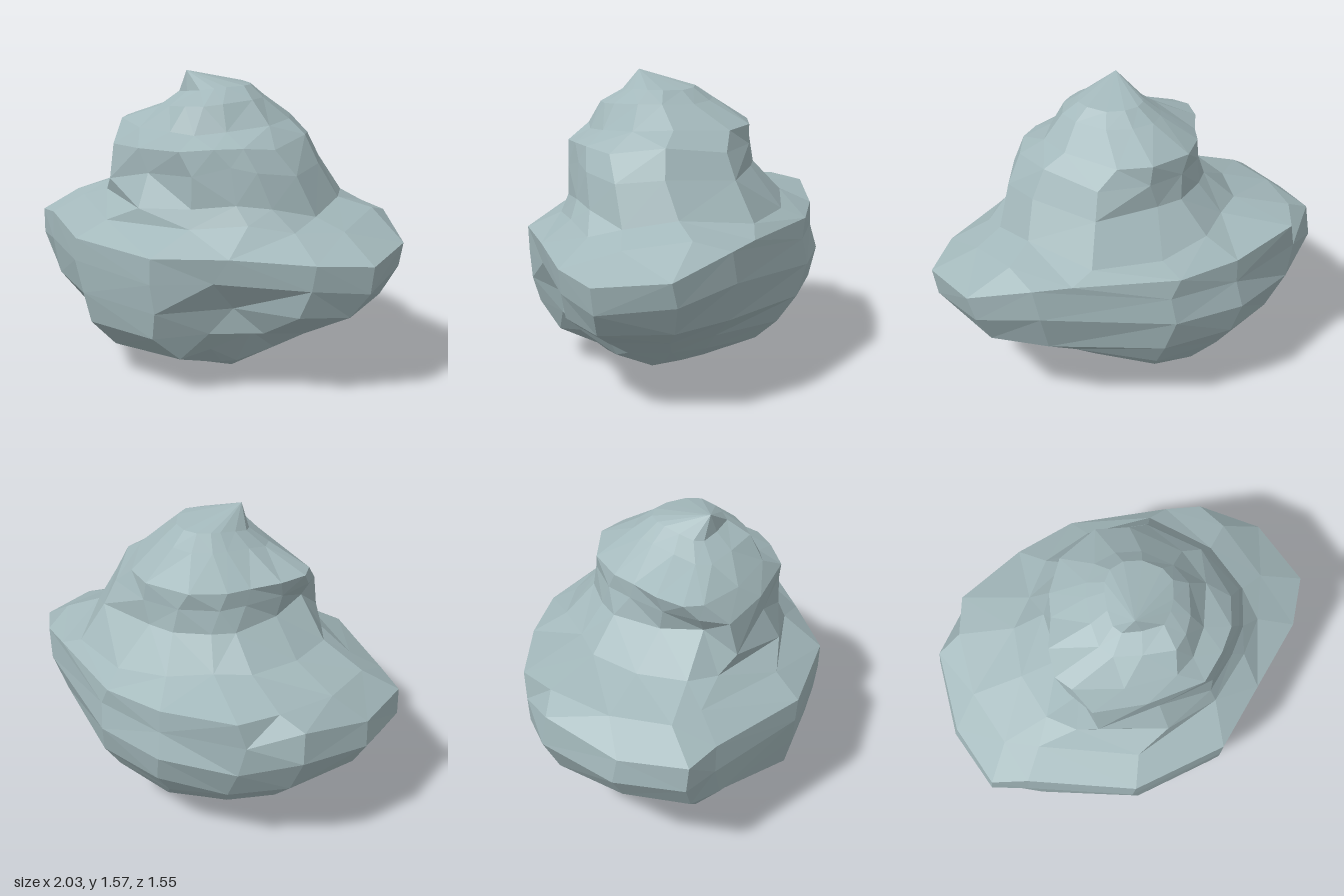
import * as THREE from 'three';

// Rings from bottom to top: y, min x, max x, min z, max z
const RINGS = [
  [0.05, -0.16, 0.22, -0.2, 0.26],
  [0.18, -0.46, 0.41, -0.5, 0.59],
  [0.31, -0.74, 0.62, -0.62, 0.72],
  [0.45, -0.9, 0.88, -0.73, 0.76],
  [0.6, -1, 0.97, -0.77, 0.77],
  [0.73, -0.99, 1, -0.73, 0.77],
  [0.85, -0.83, 0.8, -0.73, 0.6],
  [0.94, -0.6, 0.64, -0.57, 0.55],
  [1.1, -0.44, 0.57, -0.43, 0.53],
  [1.22, -0.46, 0.5, -0.41, 0.53],
  [1.31, -0.47, 0.39, -0.4, 0.42],
  [1.43, -0.23, 0.27, -0.22, 0.35],
  [1.49, -0.14, 0.2, -0.12, 0.25],
];

// Plan outlines of the broad base and the narrow crown, as x, z within -1..1
const BASE = [[1, -0.1], [0.97, 0.39], [0.77, 0.64], [0.42, 0.82], [0.05, 1], [-0.48, 0.85], [-0.83, 0.37],
  [-1, 0.2], [-0.99, -0.26], [-0.82, -0.7], [-0.55, -0.9], [-0.15, -1], [0.23, -0.88], [0.8, -0.43]];
const CROWN = [[1, -0.1], [1, 0.35], [0.66, 0.73], [0.4, 0.88], [0.04, 1], [-0.5, 0.77], [-0.9, 0.48],
  [-1, 0.2], [-0.93, -0.2], [-0.73, -0.6], [-0.55, -0.8], [-0.2, -0.98], [0.25, -0.98], [0.68, -0.8]];

// Prominent corners and hollows that pull the nearby shell towards them
const CORNERS = [
  // crown
  [0.2, 1.5, 0.11], [0, 1.5, -0.12], [0.2, 1.43, -0.12], [-0.48, 1.3, 0.18], [-0.33, 1.3, -0.17],
  [-0.24, 1.38, 0.2], [0.49, 1.26, 0], [0.45, 1.22, 0.28], [0.3, 1.15, 0.45], [0.08, 1.28, 0.42],
  [0.13, 1.1, 0.53], [0.38, 1.22, -0.29], [0.13, 1.32, -0.4], [0.1, 1.1, -0.41], [-0.31, 1.1, -0.28],
  [-0.44, 1.14, 0.18],
  // ledge
  [0.64, 0.89, 0.2], [0.52, 0.9, -0.43], [0.14, 0.85, 0.57], [0.41, 0.88, 0.48], [-0.16, 0.92, 0.55],
  [-0.46, 1, 0.35], [-0.28, 0.95, -0.45], [0.2, 0.9, -0.57], [-0.82, 0.84, -0.54], [-0.55, 0.89, -0.7],
  [0.8, 0.84, -0.33],
  // rim
  [0.03, 0.74, 0.77], [0.77, 0.73, 0.49], [-0.48, 0.64, 0.65], [-0.87, 0.77, 0.28], [0.23, 0.75, -0.68],
  [0.97, 0.57, 0.3], [0.3, 0.62, 0.65],
  // underside
  [0.35, 0.47, 0.51], [0.36, 0.3, 0.33], [0.42, 0.18, 0.2], [0.19, 0.11, 0.34], [0.1, 0.19, 0.6],
  [-0.36, 0.16, 0.48], [-0.66, 0.29, 0.28], [-0.82, 0.44, 0.3], [-0.82, 0.37, -0.08], [-0.46, 0.4, -0.63],
  [-0.05, 0.18, -0.52], [0.22, 0.3, -0.56], [0.62, 0.31, 0.28], [-0.33, 0.12, -0.13],
].map((p) => new THREE.Vector3(...p));

// Vertices of the plain shell: foot, rings, tip
function shellPoints() {
  const points = [new THREE.Vector3(0.13, 0, 0.1)];
  for (const [y, x0, x1, z0, z1] of RINGS) {
    const blend = THREE.MathUtils.smoothstep(y, 0.75, 1.1);
    BASE.forEach(([bu, bv], i) => {
      const u = THREE.MathUtils.lerp(bu, CROWN[i][0], blend);
      const v = THREE.MathUtils.lerp(bv, CROWN[i][1], blend);
      points.push(new THREE.Vector3((x0 + x1 + u * (x1 - x0)) / 2, y, (z0 + z1 + v * (z1 - z0)) / 2));
    });
  }
  points.push(new THREE.Vector3(-0.09, 1.57, 0.18));
  return points;
}

// Moves the nearest vertex onto each corner, its neighbours part of the way
function pullToCorners(points) {
  const free = new Set(points.slice(1, -1));
  const pulls = CORNERS.map((corner) => {
    let from = null;
    for (const p of free) if (!from || p.distanceTo(corner) < from.distanceTo(corner)) from = p;
    free.delete(from);
    return { from, move: corner.clone().sub(from) };
  });
  return points.map((p, i) => {
    if (i === 0 || i === points.length - 1) return p;
    const shift = new THREE.Vector3();
    let total = 1 / 0.22 ** 3;
    for (const { from, move } of pulls) {
      const weight = 1 / (p.distanceTo(from) ** 3 + 1e-4);
      shift.addScaledVector(move, weight);
      total += weight;
    }
    return shift.divideScalar(total).add(p);
  });
}

// Closed faceted shell with a point at each end
function rockGeometry() {
  const points = pullToCorners(shellPoints());
  const sides = BASE.length;
  const top = points.length - 1;
  const index = [];
  const at = (ring, i) => 1 + ring * sides + (i % sides);
  for (let i = 0; i < sides; i++) {
    index.push(0, at(0, i), at(0, i + 1));
    index.push(top, at(RINGS.length - 1, i + 1), at(RINGS.length - 1, i));
    for (let r = 0; r < RINGS.length - 1; r++) {
      const a = at(r, i), b = at(r, i + 1), c = at(r + 1, i), d = at(r + 1, i + 1);
      // The shorter diagonal follows the folds
      if (points[b].distanceTo(points[c]) < points[a].distanceTo(points[d])) index.push(a, c, b, b, c, d);
      else index.push(a, c, d, a, d, b);
    }
  }
  const indexed = new THREE.BufferGeometry().setFromPoints(points);
  indexed.setIndex(index);
  const geometry = indexed.toNonIndexed();
  geometry.computeVertexNormals();
  return geometry;
}

export function createModel() {
  const stone = new THREE.MeshStandardMaterial({ color: 0xa3b8bb });
  stone.name = 'blue grey stone';
  stone.flatShading = true;

  const rock = new THREE.Mesh(rockGeometry(), stone);
  rock.name = 'rock';

  const model = new THREE.Group();
  model.name = 'boulder';
  model.add(rock);
  return model;
}
